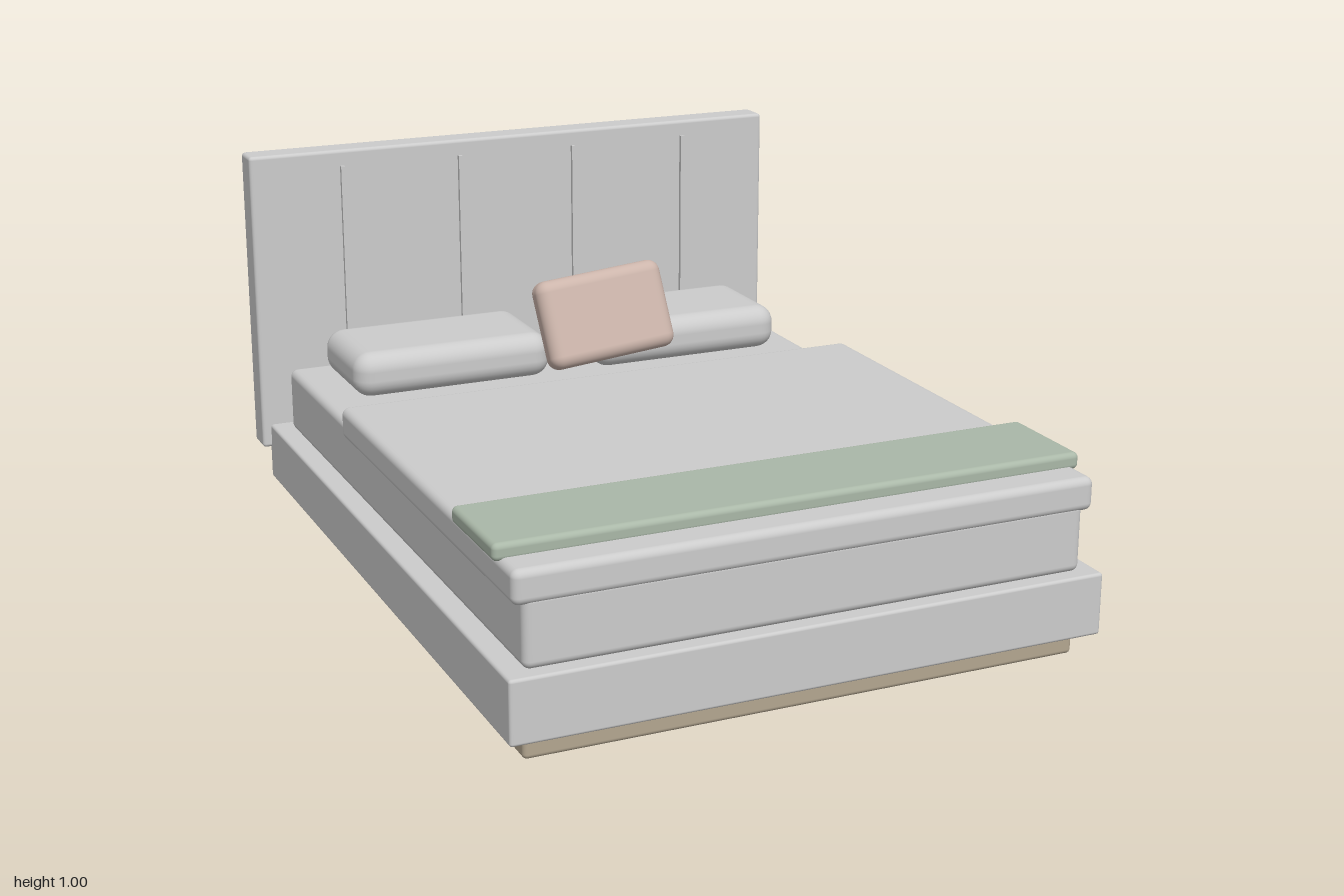
import * as THREE from 'three';
import { RoundedBoxGeometry } from 'three/addons/geometries/RoundedBoxGeometry.js';

const mat = (color) => new THREE.MeshStandardMaterial({ color });

export function createModel() {
  const bed = new THREE.Group();
  bed.name = 'bed';
  const grey = mat(0xcccccc);
  const wood = mat(0xb3a690);
  const sage = mat(0xaab8a8);
  const blush = mat(0xccb5ab);

  // Rounded block given by its [min, max] extents on each axis
  const block = (name, [x0, x1], [y0, y1], [z0, z1], radius, material = grey) => {
    const mesh = new THREE.Mesh(new RoundedBoxGeometry(x1 - x0, y1 - y0, z1 - z0, 4, radius), material);
    mesh.position.set((x0 + x1) / 2, (y0 + y1) / 2, (z0 + z1) / 2);
    mesh.name = name;
    bed.add(mesh);
    return mesh;
  };

  // Base, mattress and covers, from the floor up
  block('plinth', [-0.717, 0.717], [0, 0.055], [-0.89, 0.955], 0.012, wood);
  block('frame', [-0.765, 0.765], [0.06, 0.22], [-0.93, 1], 0.008);
  block('mattress', [-0.718, 0.718], [0.22, 0.397], [-0.862, 0.97], 0.02);
  block('duvet', [-0.743, 0.743], [0.375, 0.46], [-0.28, 0.975], 0.02);
  block('throwBlanket', [-0.755, 0.755], [0.45, 0.493], [0.613, 0.888], 0.014, sage);

  // Headboard with four vertical seams
  block('headboard', [-0.79, 0.79], [0.153, 1], [-1, -0.914], 0.01);
  for (const x of [-0.525, -0.175, 0.175, 0.525]) {
    const seam = new THREE.Mesh(new THREE.BoxGeometry(0.012, 0.72, 0.02), grey);
    seam.position.set(x, 0.595, -0.913);
    seam.name = 'headboardSeam';
    bed.add(seam);
  }

  // Two sleeping pillows
  block('rightPillow', [-0.635, -0.068], [0.4, 0.525], [-0.8, -0.474], 0.05);
  block('leftPillow', [0.065, 0.632], [0.4, 0.525], [-0.8, -0.474], 0.05);

  // Accent cushion leaning back on the pillows
  const cushion = new THREE.Mesh(new RoundedBoxGeometry(0.38, 0.25, 0.085, 5, 0.034), blush);
  cushion.position.set(0.09, 0.56, -0.488);
  cushion.rotation.set(-0.35, 0, 0.09);
  cushion.name = 'accentCushion';
  bed.add(cushion);

  return bed;
}
